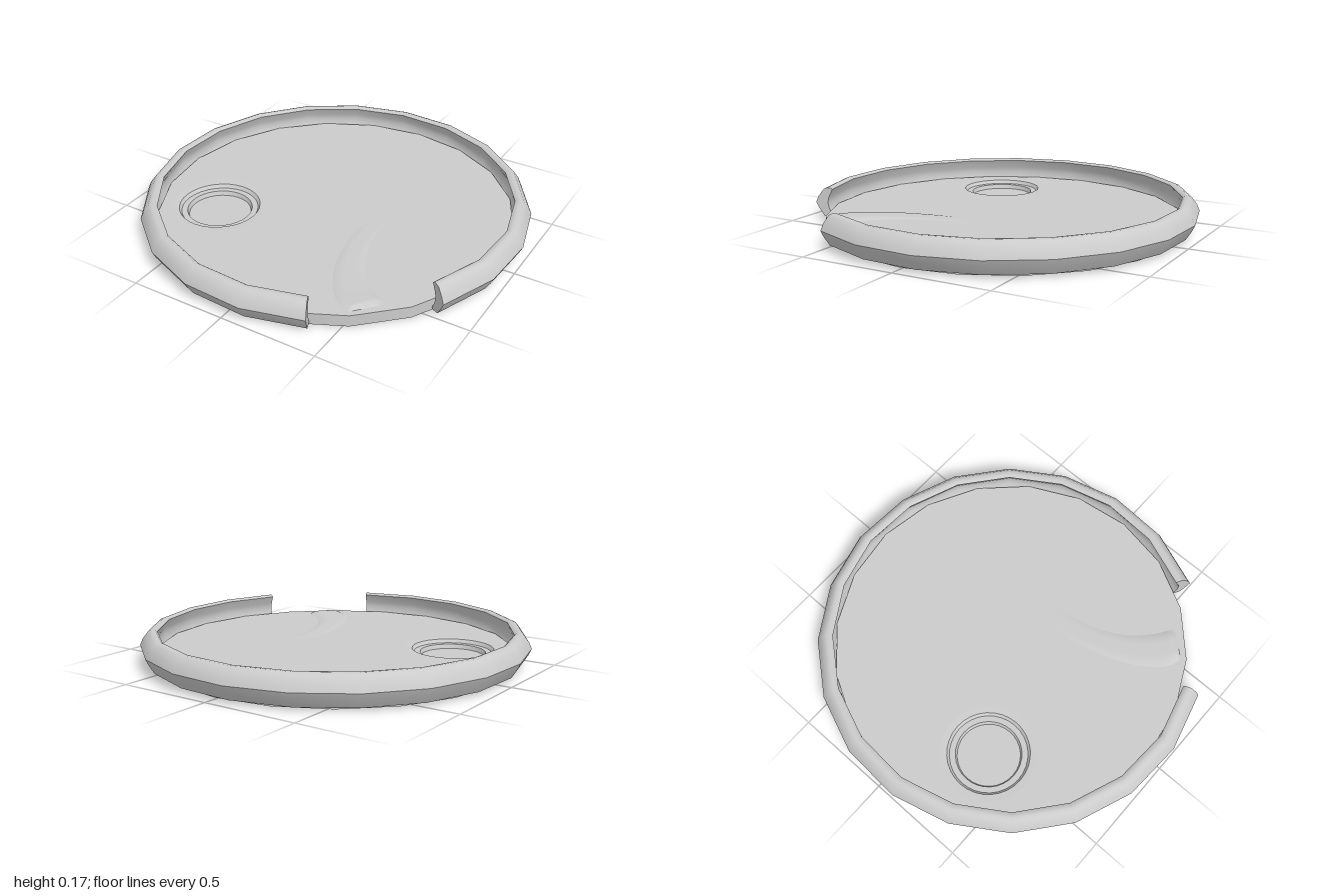
import * as THREE from 'three';
import { toCreasedNormals } from 'three/addons/utils/BufferGeometryUtils.js';

const rad = THREE.MathUtils.degToRad;
const V2 = (x, y) => new THREE.Vector2(x, y);
const FLOOR_Y = 0.06;

export function createModel() {
  const group = new THREE.Group();
  const material = new THREE.MeshStandardMaterial({ color: 0xcccccc, side: THREE.DoubleSide });
  const add = (name, geometry) => {
    const mesh = new THREE.Mesh(geometry, material);
    mesh.name = name;
    group.add(mesh);
    return mesh;
  };
  const circle = (r, sides, start = 0, cx = 0, cz = 0) =>
    Array.from({ length: sides }, (_, i) => {
      const a = rad(start) + (i / sides) * Math.PI * 2;
      return V2(cx + r * Math.cos(a), cz + r * Math.sin(a));
    });

  // Rim: bowed section swept through 18 of 20 sides, leaving a gateway
  const section = [
    [0.925, 0.014], [0.957, 0.016], [0.985, 0.06], [1.0, 0.092], [0.985, 0.125], [0.957, 0.162],
    [0.94, 0.169], [0.92, 0.168], [0.911, 0.16], [0.932, 0.115], [0.937, 0.09], [0.932, 0.06], [0.914, 0.022],
  ].map(([r, y]) => V2(r, y));
  const rimLathe = new THREE.LatheGeometry([...section, section[0].clone()], 18, rad(-300.3), rad(324));
  add('rim', toCreasedNormals(rimLathe, rad(40)));
  for (const [name, angle] of [['rimEndLeft', 30.3], ['rimEndRight', 66.3]]) {
    const cap = new THREE.ShapeGeometry(new THREE.Shape(section));
    cap.rotateY(-rad(angle));
    add(name, cap);
  }

  // Curved ramp, lofted between its two edge curves
  const edge = (pts) => new THREE.CatmullRomCurve3(pts.map(([x, z]) => new THREE.Vector3(x, 0, z)));
  const outerEdge = edge([[0.21, 0.05], [0.215, 0.22], [0.27, 0.45], [0.36, 0.62], [0.45, 0.71], [0.51, 0.725]]);
  const innerEdge = edge([[0.305, 0.02], [0.315, 0.15], [0.36, 0.31], [0.43, 0.44], [0.53, 0.54], [0.62, 0.6]]);
  const rows = 20, cols = 6;
  const positions = [], indices = [], outline = [];
  for (let i = 0; i <= rows; i++) {
    const t = i / rows;
    const a = outerEdge.getPoint(t), b = innerEdge.getPoint(t);
    const lift = i === rows ? 0 : 0.014 * t;
    for (let j = 0; j <= cols; j++) {
      const p = a.clone().lerp(b, j / cols);
      const y = FLOOR_Y + (j === 0 || j === cols ? 0 : lift);
      positions.push(p.x, y, p.z);
      if (i < rows && j < cols) {
        const k = i * (cols + 1) + j, n = k + cols + 1;
        indices.push(k, n, k + 1, k + 1, n, n + 1);
      }
    }
    outline[i] = V2(a.x, a.z);
    outline[2 * rows + 1 - i] = V2(b.x, b.z);
  }
  const ramp = new THREE.BufferGeometry();
  ramp.setAttribute('position', new THREE.Float32BufferAttribute(positions, 3));
  ramp.setIndex(indices);
  ramp.computeVertexNormals();
  add('ramp', ramp);

  // Thin floor with openings for the round recess and the ramp
  const floorShape = new THREE.Shape(circle(0.917, 20, 37));
  floorShape.holes.push(new THREE.Path(circle(0.245, 32, 0, -0.52, 0.31)), new THREE.Path(outline));
  const floor = new THREE.ShapeGeometry(floorShape);
  floor.rotateX(Math.PI / 2);
  floor.translate(0, FLOOR_Y, 0);
  add('floor', floor);

  // Skirt hanging below the floor edge, open underneath
  const skirt = new THREE.CylinderGeometry(0.917, 0.917, FLOOR_Y, 20, 1, true, rad(53));
  skirt.translate(0, FLOOR_Y / 2, 0);
  add('skirt', skirt);

  // Stepped round recess
  const steps = [
    [0, 0.018], [0.16, 0.018], [0.168, 0.04], [0.198, 0.04], [0.21, 0.058], [0.245, FLOOR_Y],
  ].map(([r, y]) => V2(r, y));
  const recess = add('recess', toCreasedNormals(new THREE.LatheGeometry(steps, 32), rad(30)));
  recess.position.set(-0.52, 0, 0.31);

  return group;
}
